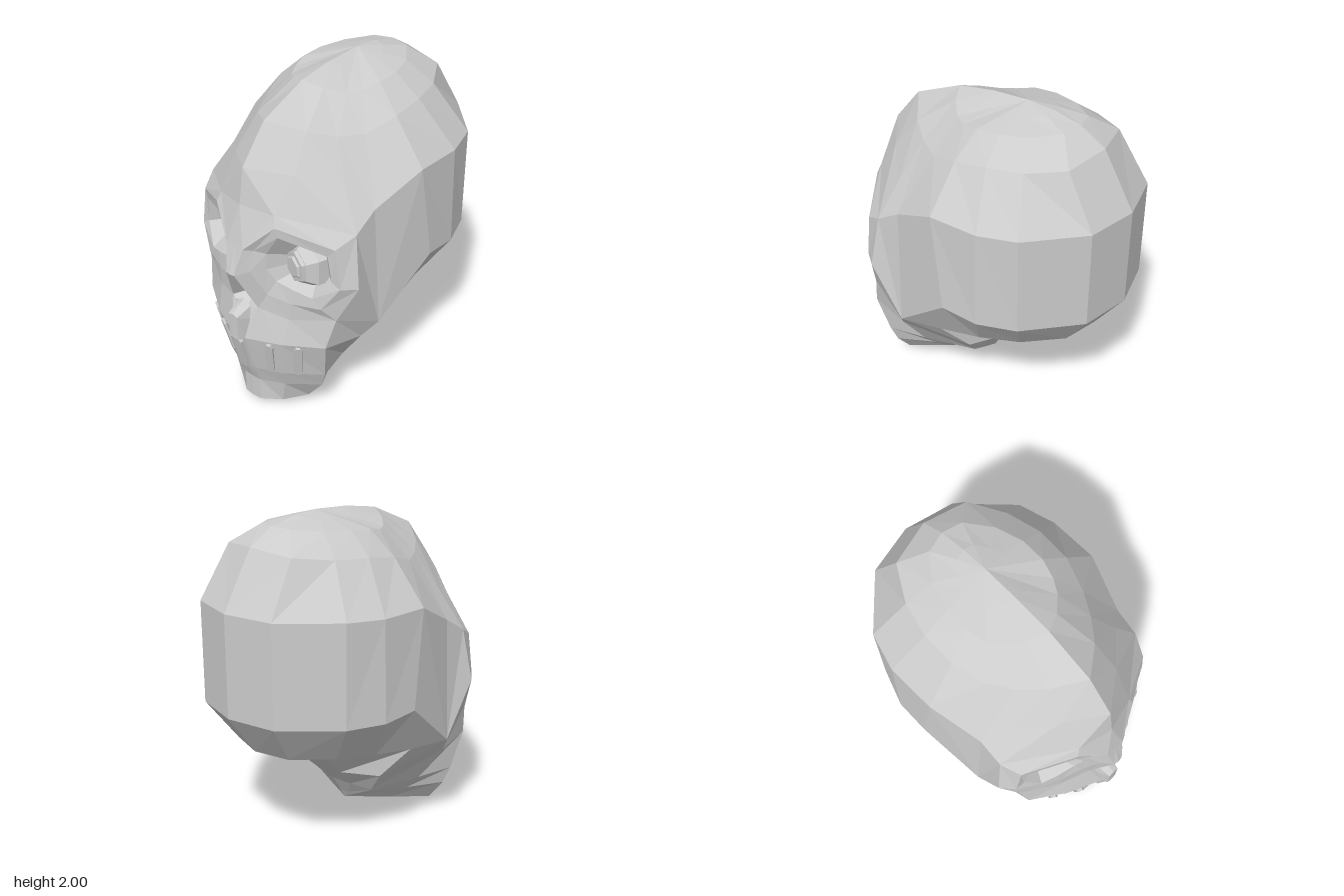
import * as THREE from 'three';

const material = new THREE.MeshStandardMaterial({ color: 0xcccccc, flatShading: true, side: THREE.DoubleSide });

// Collects faces of the left half and mirrors each one to the right
function halfShell(name) {
  const pos = [];
  const tri = (a, b, c) => {
    const same = (p, q) => p.every((v, i) => v === q[i]);
    if (same(a, b) || same(b, c) || same(a, c)) return;
    pos.push(...a, ...b, ...c);
    for (const p of [a, c, b]) pos.push(-p[0], p[1], p[2]);
  };
  return {
    fan(...p) {
      for (let i = 1; i < p.length - 1; i++) tri(p[0], p[i], p[i + 1]);
    },
    loft(...rows) {
      for (let r = 0; r < rows.length - 1; r++) {
        const u = rows[r], v = rows[r + 1];
        for (let c = 0; c < u.length - 1; c++) {
          tri(u[c], v[c], v[c + 1]);
          tri(u[c], v[c + 1], u[c + 1]);
        }
      }
    },
    mesh() {
      const g = new THREE.BufferGeometry();
      g.setAttribute('position', new THREE.Float32BufferAttribute(pos, 3));
      g.computeVertexNormals();
      return part(name, g);
    },
  };
}

const repeat = (p, n) => Array(n).fill(p);
const close = (loop) => [...loop, loop[0]];

function part(name, geometry) {
  const m = new THREE.Mesh(geometry, material);
  m.name = name;
  return m;
}

export function createModel() {
  const skull = new THREE.Group();
  skull.name = 'skull';

  // Cranium rings, each from the front centre round to the back centre
  const crown = [[0, 1.95, 0.26], [0.11, 1.915, 0.21], [0.2, 1.885, 0.13], [0.25, 1.885, 0.05], [0.28, 1.91, -0.06],
    [0.28, 1.92, -0.2], [0.23, 1.93, -0.36], [0.12, 1.945, -0.5], [0, 1.95, -0.53]];
  const crownTop = crown.map(([x, y, z]) => [x / 2, y / 2 + 1.012 - 0.043 * x, (z - 0.2) / 2]);
  const upper = [[0, 1.82, 0.56], [0.18, 1.76, 0.43], [0.29, 1.72, 0.3], [0.37, 1.71, 0.17], [0.43, 1.77, -0.02],
    [0.43, 1.8, -0.22], [0.38, 1.81, -0.42], [0.26, 1.835, -0.62], [0, 1.86, -0.68]];
  const temple = [[0, 1.61, 0.73], [0.22, 1.57, 0.57], [0.42, 1.49, 0.39], [0.55, 1.37, 0.3], [0.635, 1.52, 0],
    [0.635, 1.52, -0.3], [0.57, 1.53, -0.52], [0.3, 1.53, -0.8], [0, 1.53, -0.87]];
  const lower = [[0.66, 0.95, -0.08], [0.65, 0.93, -0.3], [0.57, 0.93, -0.52], [0.3, 0.93, -0.8], [0, 0.93, -0.87]];
  const base = [[0.52, 0.63, 0.05], [0.48, 0.66, -0.2], [0.4, 0.68, -0.43], [0.22, 0.68, -0.63], [0, 0.68, -0.69]];
  const neckSide = [0.2, 0.58, -0.33], neckMid = [0, 0.52, -0.31];

  const cranium = halfShell('cranium');
  cranium.loft(repeat([0, 2, -0.2], 9), crownTop, crown, upper, temple);
  cranium.loft(temple.slice(4), lower, base, [neckSide, neckSide, neckSide, neckMid, neckMid]);

  // Eye surround: outer loop, raised ridge, rim and pointed socket, clockwise from the bridge
  const outer = [[0.06, 1.16, 0.82], [0.2, 1.38, 0.71], [0.55, 1.28, 0.45], [0.6, 0.97, 0.485],
    [0.5, 0.75, 0.555], [0.27, 0.72, 0.69], [0.1, 0.76, 0.76], [0.03, 1, 0.865]];
  const ridge = [[0.1, 1.15, 0.775], [0.22, 1.32, 0.73], [0.5, 1.22, 0.565], [0.535, 0.98, 0.565],
    [0.44, 0.83, 0.615], [0.28, 0.83, 0.685], [0.15, 0.86, 0.735], [0.09, 1.02, 0.8]];
  const rim = [[0.15, 1.13, 0.73], [0.23, 1.26, 0.72], [0.46, 1.17, 0.58], [0.48, 1.01, 0.57],
    [0.39, 0.89, 0.63], [0.29, 0.92, 0.67], [0.19, 0.95, 0.7], [0.15, 1.03, 0.73]];
  const [bridge, brow, browEnd, cheekbone, cheek, lip, nostril, noseTip] = outer;
  const jawHinge = [0.59, 0.64, 0.29];
  const noseFloor = [0, 0.7, 0.78];
  const browMid = [0, 1.4, 0.765], bridgeMid = [0, 1.16, 0.82], tipMid = [0, 1, 0.87];

  const face = halfShell('face');
  face.loft(close(outer), close(ridge), close(rim));
  face.fan(temple[0], browMid, brow, temple[1]);
  face.fan(temple[1], brow, browEnd, temple[2]);
  face.fan(temple[2], browEnd, temple[3]);
  face.fan(browMid, bridgeMid, bridge, brow);
  face.fan(bridgeMid, tipMid, noseTip, bridge);
  // Hollow side panel and the cheek in front of it
  face.fan(jawHinge, lower[0], temple[4], temple[3], browEnd, cheekbone);
  face.fan(cheekbone, cheek, jawHinge);
  face.fan(lower[0], jawHinge, base[0]);

  const sockets = halfShell('eyeSockets');
  sockets.loft(close(rim), repeat([0.31, 1.05, 0.45], 9));

  const nose = halfShell('noseCavity');
  nose.loft([tipMid, noseTip, nostril, noseFloor], repeat([0, 0.8, 0.65], 4));

  // Jaws: rows from the cheeks down to the chin, front centre to back centre;
  // the underside narrows to a point at the back
  const jaw = halfShell('jaw');
  jaw.loft(
    [noseFloor, nostril, lip, cheek, jawHinge, base[0], neckSide, neckMid],
    [[0, 0.56, 0.84], [0.05, 0.56, 0.83], [0.25, 0.56, 0.74], [0.46, 0.56, 0.6],
      [0.51, 0.53, 0.35], [0.36, 0.43, -0.04], [0.16, 0.43, -0.17], [0, 0.42, -0.2]],
    [[0, 0.31, 0.78], [0.06, 0.31, 0.77], [0.22, 0.31, 0.7], [0.41, 0.31, 0.55],
      [0.35, 0.3, 0.32], [0.24, 0.28, 0.01], [0.12, 0.3, -0.05], [0, 0.31, -0.08]],
    [[0, 0.2, 0.74], [0.06, 0.2, 0.735], [0.2, 0.2, 0.67], [0.37, 0.2, 0.53],
      [0.26, 0.2, 0.31], [0.1, 0.2, 0.015], [0.05, 0.2, 0], [0, 0.2, -0.01]],
    [[0, 0.05, 0.74], [0.06, 0.05, 0.735], [0.17, 0.055, 0.66], [0.26, 0.06, 0.53],
      [0.14, 0.1, 0.28], ...repeat([0, 0.145, 0.02], 3)],
    [[0, 0, 0.67], [0, 0, 0.66], [0, 0, 0.63], [0, 0.02, 0.53],
      [0, 0.08, 0.28], ...repeat([0, 0.145, 0.02], 3)],
  );

  // Small tab under the nose, its wings swept back
  const tab = halfShell('noseTab');
  tab.loft(
    [[0, 0.78, 0.77], [0.05, 0.755, 0.77], [0.095, 0.73, 0.76]],
    [[0, 0.725, 0.865], [0.035, 0.715, 0.865], [0.06, 0.68, 0.79]],
    [[0, 0.56, 0.868], [0.035, 0.56, 0.865], [0.055, 0.56, 0.82]],
    repeat([0, 0.55, 0.8], 3),
  );

  skull.add(cranium.mesh(), face.mesh(), sockets.mesh(), nose.mesh(), jaw.mesh(), tab.mesh());

  // Narrow tooth bars with chamfered ends, almost flush with the mouth surface
  const teeth = new THREE.Group();
  teeth.name = 'teeth';
  const w = 0.024, h = 0.12;
  const barShape = new THREE.Shape([[-w, 0.02 - h], [-0.012, -h], [0.012, -h], [w, 0.02 - h],
    [w, h - 0.02], [0.012, h], [-0.012, h], [-w, h - 0.02]].map(([x, y]) => new THREE.Vector2(x, y)));
  const bar = new THREE.ExtrudeGeometry(barShape, { depth: 0.03, bevelEnabled: false });
  const addTooth = (x, z, yaw, roll, width) => {
    const t = part('tooth', bar);
    t.position.set(x, 0.435, z);
    t.rotation.set(0.24, yaw, roll, 'YXZ');
    t.scale.x = width;
    teeth.add(t);
  };
  addTooth(0, 0.795, 0, 0, 1.4);
  for (const s of [-1, 1]) {
    addTooth(0.16 * s, 0.733, 0.4 * s, -0.05 * s, 1);
    addTooth(0.3 * s, 0.65, 0.58 * s, -0.04 * s, 1);
  }
  skull.add(teeth);

  // Mechanical eye in the left socket: tapered hexagonal body, ring and lens
  const eye = new THREE.Group();
  eye.name = 'mechanicalEye';
  const stack = [['eyeBody', 0.15, 0.15, 0.1, -0.05], ['eyeTaper', 0.105, 0.15, 0.06, 0.03],
    ['lensHousing', 0.095, 0.1, 0.02, 0.07], ['lens', 0.06, 0.07, 0.014, 0.086]];
  for (const [name, top, bottom, height, z] of stack) {
    const m = part(name, new THREE.CylinderGeometry(top, bottom, height, 6));
    m.rotation.x = Math.PI / 2;
    m.position.z = z;
    eye.add(m);
  }
  eye.position.set(0.3, 1.06, 0.57);
  eye.rotation.y = -0.3;
  skull.add(eye);

  return skull;
}
